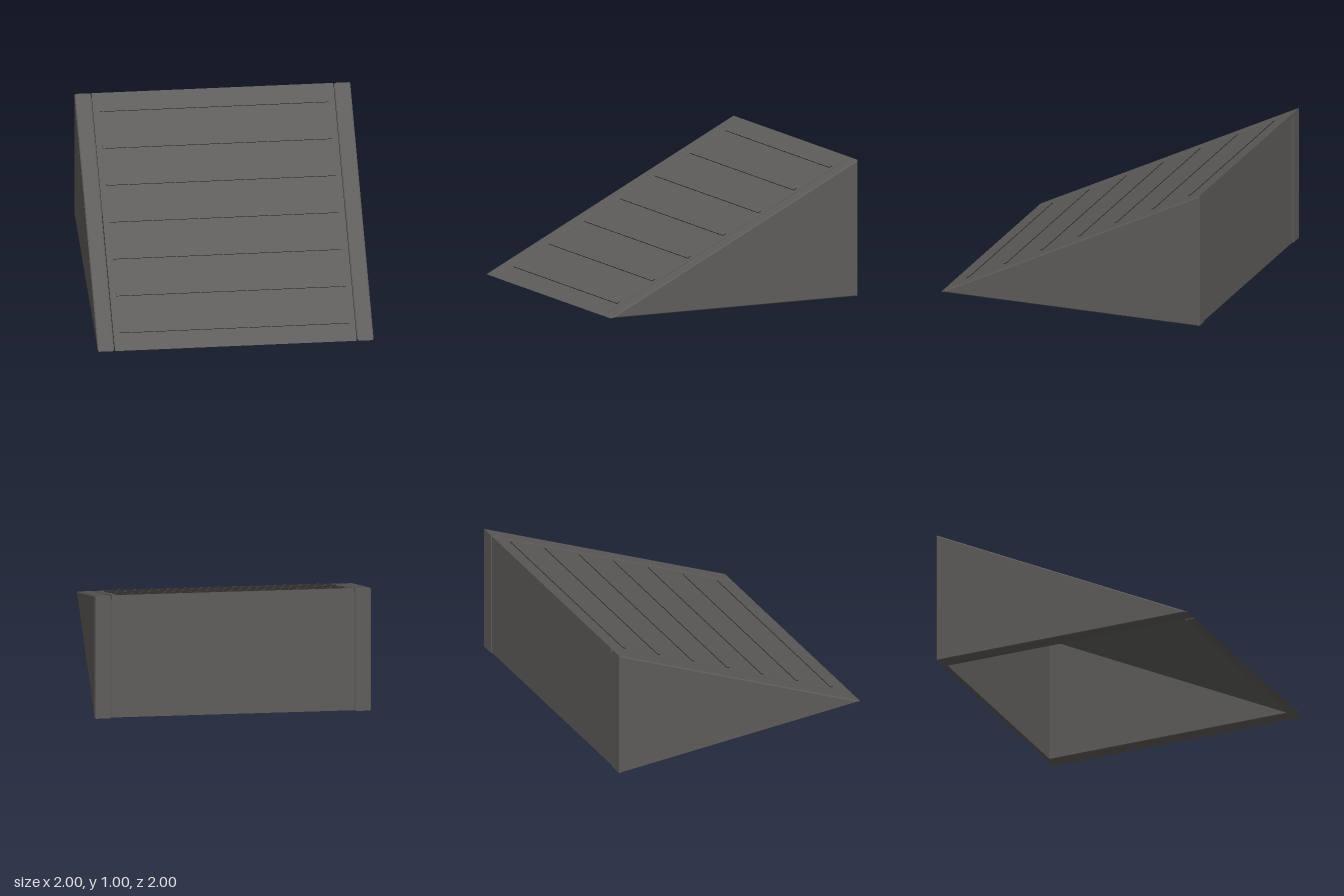
import * as THREE from 'three';
import { ConvexGeometry } from 'three/addons/geometries/ConvexGeometry.js';

const grey = new THREE.MeshStandardMaterial({ color: 0x5f5d5b });
grey.name = 'ramp grey';
const dark = new THREE.MeshStandardMaterial({ color: 0x2c2b2a });
dark.name = 'dark edge';

const EDGE = 0.88;   // x where the deck meets the side walls
const SLOPE = Math.atan(0.5);

function part(geometry, material, name) {
  const mesh = new THREE.Mesh(geometry, material);
  mesh.name = name;
  return mesh;
}

// Triangle of the ramp side, shrunk evenly towards its incentre by the inset
function triangle(x, inset) {
  const r = (3 - Math.sqrt(5)) / 2;
  const k = 1 - inset / r;
  const cz = r - 1;
  return [[1, 0], [-1, 0], [-1, 1]].map(([z, y]) =>
    new THREE.Vector3(x, r + (y - r) * k, cz + (z - cz) * k));
}

// Solid wedge with small chamfers along its edges
function sideWall() {
  const b = 0.007;
  return new ConvexGeometry([
    ...triangle(EDGE, b), ...triangle(EDGE + b, 0),
    ...triangle(1 - b, 0), ...triangle(1, b),
  ]);
}

// Extrudes a (z, y) outline across the width between the side walls
function acrossWidth(points, halfWidth) {
  const shape = new THREE.Shape(points.map(([z, y]) => new THREE.Vector2(z, y)));
  const geometry = new THREE.ExtrudeGeometry(shape, { depth: 2 * halfWidth, bevelEnabled: false });
  geometry.translate(0, 0, -halfWidth);
  geometry.rotateY(-Math.PI / 2);
  return geometry;
}

export function createModel() {
  const ramp = new THREE.Group();
  ramp.name = 'ramp';

  // Side walls
  const left = part(sideWall(), grey, 'leftSideWall');
  const right = part(sideWall(), grey, 'rightSideWall');
  right.rotation.y = 0;
  right.geometry.translate(-1 - EDGE, 0, 0);
  ramp.add(left, right);

  // Sloping deck and back panel, open underneath
  ramp.add(part(acrossWidth([[1, 0], [-1, 1], [-1, 0.965], [0.93, 0]], EDGE - 0.004), grey, 'deck'));
  ramp.add(part(acrossWidth([[-0.965, 0.004], [-0.965, 0.95], [-0.995, 0.965], [-0.995, 0.004]], EDGE), grey, 'backPanel'));

  // Seven low grip ridges with dark front edges
  const ridge = new THREE.BoxGeometry(1.66, 0.012, 0.025);
  for (let i = 0; i < 7; i++) {
    const z = 0.852 - i * 0.286;
    const mesh = part(ridge, [dark, dark, grey, grey, dark, dark], 'gripRidge');
    mesh.position.set(0, (1 - z) / 2, z);
    mesh.rotation.x = SLOPE;
    ramp.add(mesh);
  }
  return ramp;
}
